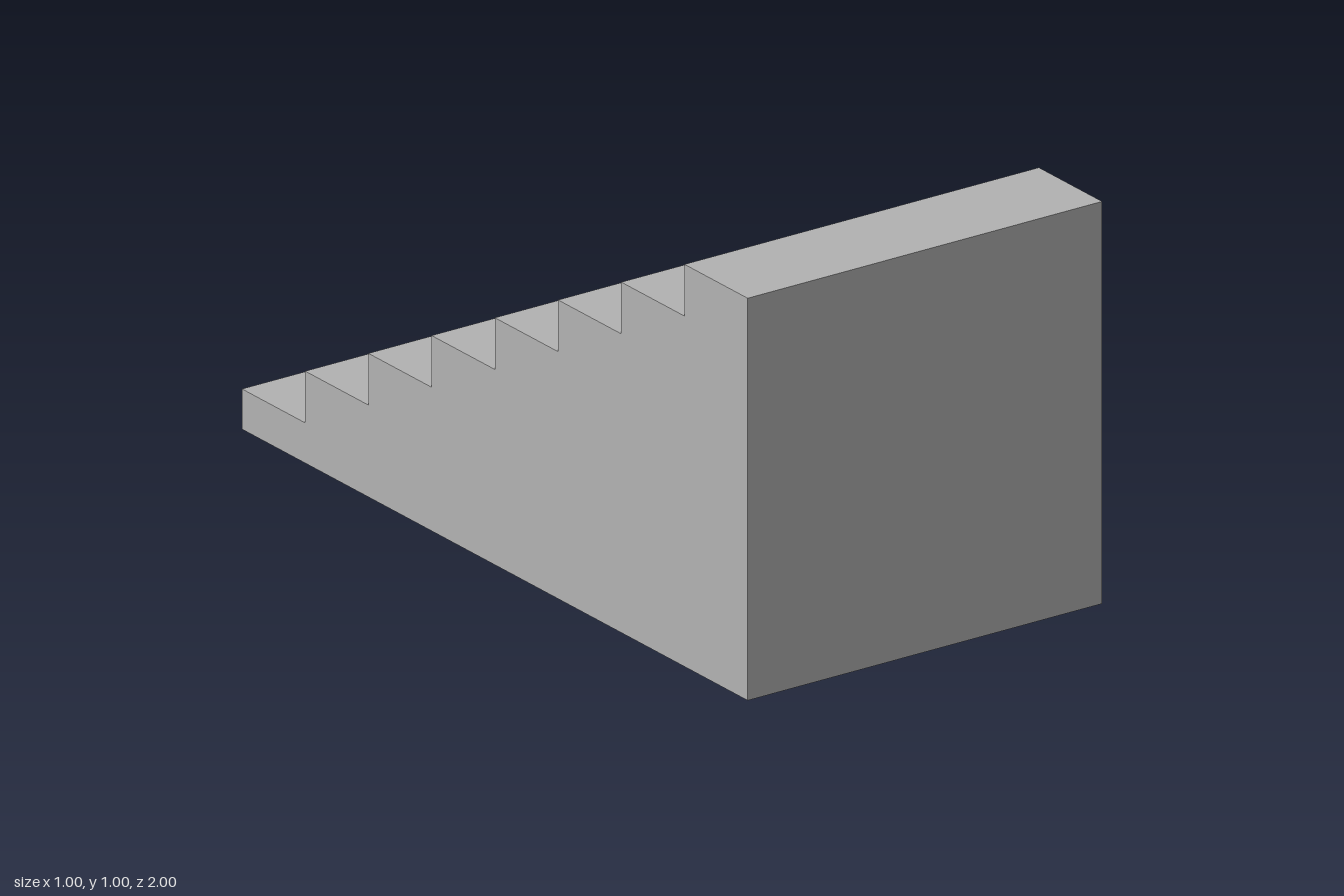
import * as THREE from 'three';

const STEPS = 8, WIDTH = 1, LENGTH = 2, FIRST = 0.1, TOP = 1;

export function createModel() {
  const group = new THREE.Group();
  group.name = 'staircase';
  const grey = new THREE.MeshStandardMaterial({ color: 0xb2b2b2 });
  grey.name = 'plain grey';

  // Side profile: shape x runs along z, lowest step at the back
  const run = LENGTH / STEPS, rise = (TOP - FIRST) / (STEPS - 1);
  const profile = new THREE.Shape();
  profile.moveTo(LENGTH / 2, 0);
  for (let i = STEPS - 1; i >= 0; i--) {
    const y = FIRST + i * rise, z = -LENGTH / 2 + i * run;
    profile.lineTo(z + run, y);
    profile.lineTo(z, y);
  }
  profile.lineTo(-LENGTH / 2, 0);
  profile.closePath();

  // Solid flight of steps, extruded across the width
  const geometry = new THREE.ExtrudeGeometry(profile, { depth: WIDTH, bevelEnabled: false });
  geometry.translate(0, 0, -WIDTH / 2);
  geometry.rotateY(-Math.PI / 2);
  const steps = new THREE.Mesh(geometry, grey);
  steps.name = 'steps';
  group.add(steps);
  return group;
}
